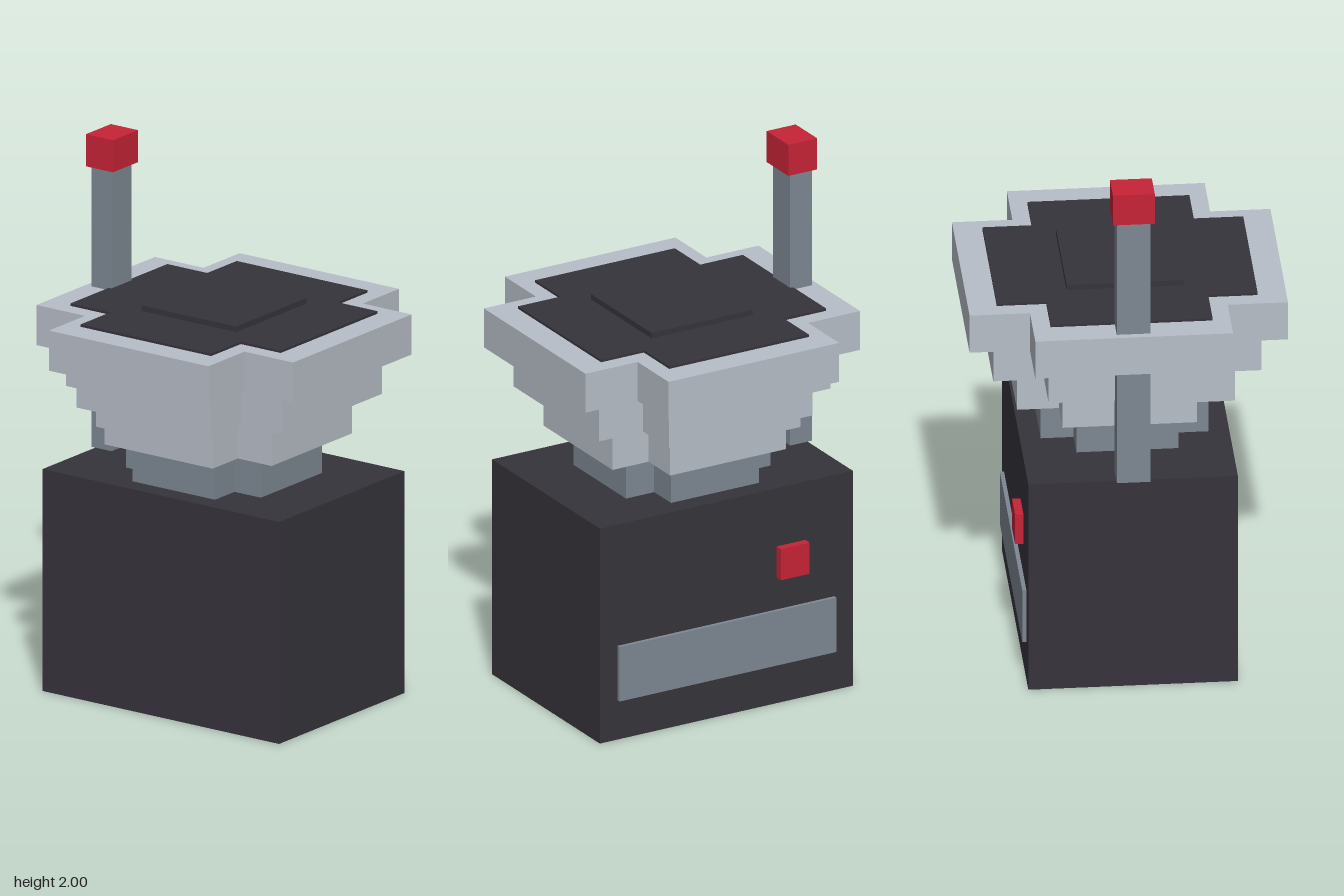
import * as THREE from 'three';

export function createModel() {
  const model = new THREE.Group();
  const material = (name, color) => {
    const m = new THREE.MeshStandardMaterial({ color });
    m.name = name;
    return m;
  };
  const charcoal = material('charcoal', 0x36343b);
  const slate = material('slate grey', 0x7d8792);
  const silver = material('light grey', 0xb7bec7);
  const red = material('red', 0xc62336);

  const add = (name, geometry, mat) => {
    const mesh = new THREE.Mesh(geometry, mat);
    mesh.name = name;
    model.add(mesh);
    return mesh;
  };

  // Box given by its lower and upper bounds on each axis
  const box = (name, mat, [x0, x1], [y0, y1], [z0, z1]) =>
    add(name, new THREE.BoxGeometry(x1 - x0, y1 - y0, z1 - z0), mat)
      .position.set((x0 + x1) / 2, (y0 + y1) / 2, (z0 + z1) / 2);

  // Upright plus-shaped slab: reach of the arms and their half width
  const plus = (name, mat, reach, half, y0, y1) => {
    const shape = new THREE.Shape([
      [reach, -half], [reach, half], [half, half], [half, reach],
      [-half, reach], [-half, half], [-reach, half], [-reach, -half],
      [-half, -half], [-half, -reach], [half, -reach], [half, -half],
    ].map(([x, y]) => new THREE.Vector2(x, y)));
    const geometry = new THREE.ExtrudeGeometry(shape, { depth: y1 - y0, bevelEnabled: false });
    geometry.rotateX(-Math.PI / 2);
    add(name, geometry, mat).position.y = y0;
  };

  // Base and neck
  box('body', charcoal, [-0.527, 0.523], [0, 0.83], [-0.375, 0.375]);
  plus('neck', slate, 0.3, 0.183, 0.83, 0.98);

  // Stepped bowl widening upwards
  [[0.39, 0.24], [0.48, 0.298], [0.57, 0.354]].forEach(([reach, half], i) =>
    plus('bowlTier' + (i + 1), silver, reach, half, 0.98 + i * 0.15, 1.13 + i * 0.15));

  // Dark filling with a raised centre
  plus('bowlFilling', charcoal, 0.467, 0.29, 1.43, 1.439);
  box('fillingCentre', charcoal, [-0.21, 0.21], [1.439, 1.46], [-0.21, 0.21]);

  // Lever on the right side
  box('leverPost', slate, [-0.545, -0.455], [0.83, 1.88], [-0.06, 0.06]);
  box('leverKnob', red, [-0.558, -0.438], [1.88, 2], [-0.075, 0.075]);

  // Back panel and button
  box('backPanel', slate, [-0.45, 0.45], [0.152, 0.362], [-0.39, -0.375]);
  box('backButton', red, [-0.33, -0.21], [0.485, 0.605], [-0.405, -0.375]);

  return model;
}
